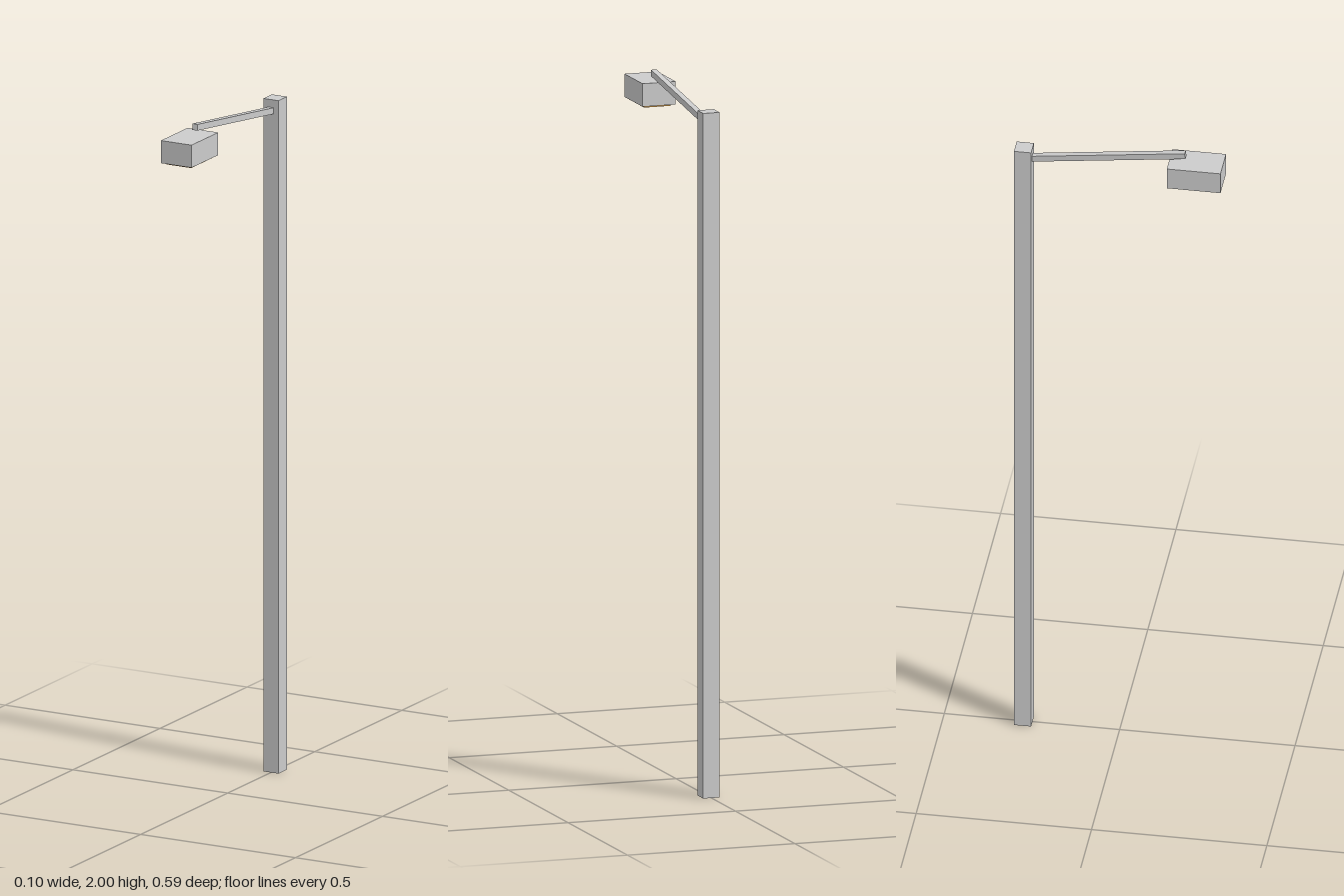
import * as THREE from 'three';

export function createModel() {
  const group = new THREE.Group();
  const grey = new THREE.MeshStandardMaterial({ color: 0xcccccc, flatShading: true });
  const amber = new THREE.MeshStandardMaterial({ color: 0xd9a04a, flatShading: true });

  const box = (name, size, position, material = grey) => {
    const mesh = new THREE.Mesh(new THREE.BoxGeometry(...size), material);
    mesh.name = name;
    mesh.position.set(...position);
    group.add(mesh);
    return mesh;
  };

  // Square upright
  box('pole', [0.049, 1.966, 0.049], [0, 0.983, -0.273]);

  // Thin arm rising from inside the pole to above the lamp
  const start = new THREE.Vector3(0, 1.931, -0.273);
  const end = new THREE.Vector3(0, 1.991, 0.188);
  const mid = start.clone().add(end).multiplyScalar(0.5);
  const arm = box('arm', [0.017, 0.018, start.distanceTo(end)], mid.toArray());
  arm.rotation.x = -Math.atan2(end.y - start.y, end.z - start.z);

  // Lamp housing with a slightly inset glowing panel below
  box('lampHousing', [0.099, 0.066, 0.153], [0, 1.938, 0.219]);
  box('lampPanel', [0.079, 0.012, 0.123], [0, 1.905, 0.219], amber);

  return group;
}
